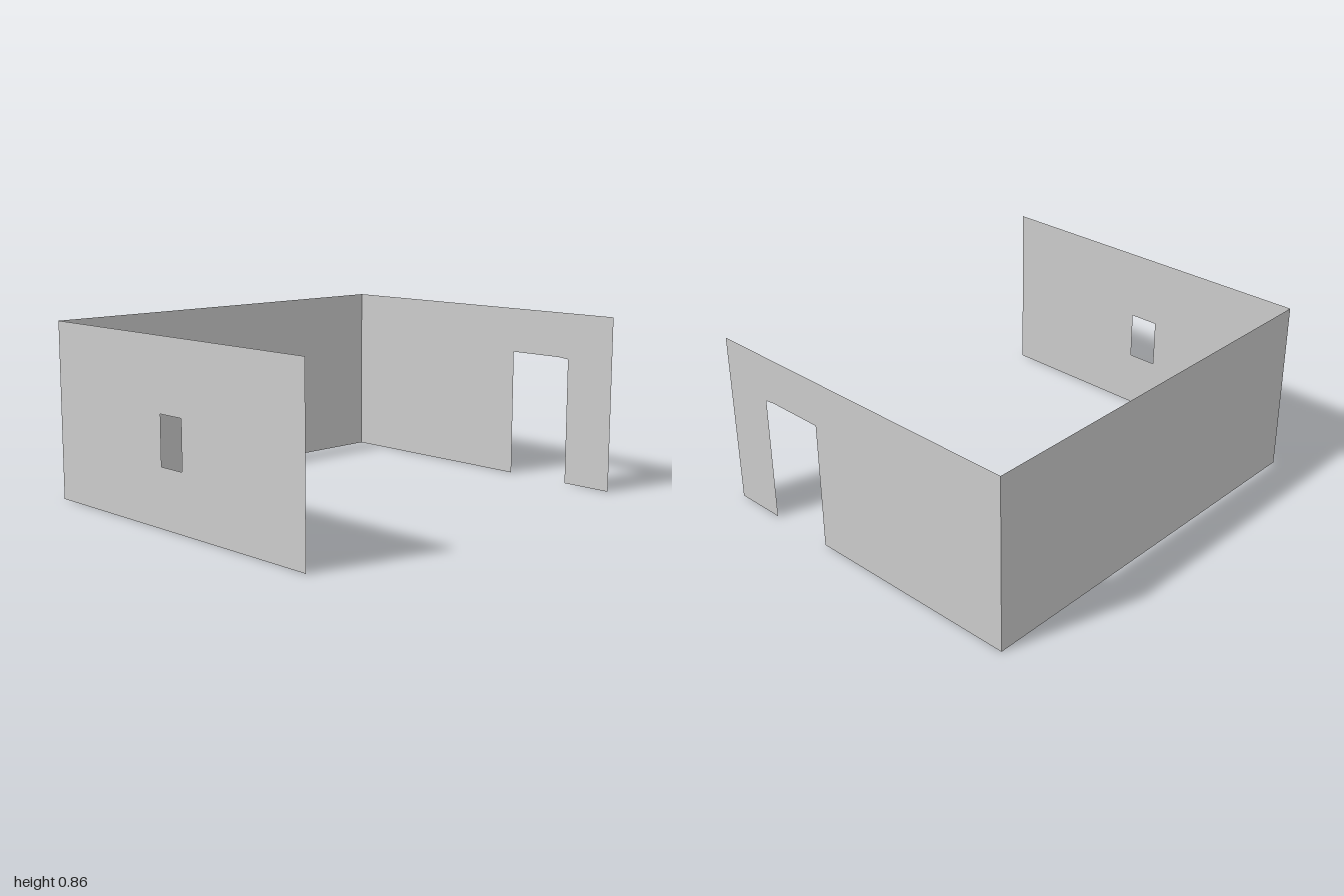
import * as THREE from 'three';

const HALF_X = 1, HALF_Z = 0.857, HEIGHT = 0.857;

const points = (list) => list.map(([a, b]) => new THREE.Vector2(a, b));

// Single-sheet wall from an outline and optional openings
function makeWall(name, outline, openings = []) {
  const shape = new THREE.Shape(points(outline));
  for (const o of openings) shape.holes.push(new THREE.Path(points(o)));
  const material = new THREE.MeshStandardMaterial({ color: 0xcccccc, side: THREE.DoubleSide });
  const wall = new THREE.Mesh(new THREE.ShapeGeometry(shape), material);
  wall.name = name;
  return wall;
}

const rect = (a0, b0, a1, b1) => [[a0, b0], [a1, b0], [a1, b1], [a0, b1]];

export function createModel() {
  const room = new THREE.Group();
  room.name = 'room';

  // Plain back wall
  const back = makeWall('backWall', rect(-HALF_X, 0, HALF_X, HEIGHT));
  back.position.z = -HALF_Z;

  // Side walls are drawn as (z, y) and turned into place
  const windowWall = makeWall('windowWall', rect(-HALF_Z, 0, HALF_Z, HEIGHT),
    [rect(-0.074, 0.28, 0.074, 0.514)]);
  windowWall.position.x = -HALF_X;

  // The doorway is open to the floor, with a slightly dipped front corner
  const doorWall = makeWall('doorWall', [
    [-HALF_Z, 0], [0.252, 0], [0.252, 0.634], [0.54, 0.634], [0.596, 0.628], [0.596, 0],
    [HALF_Z, 0], [HALF_Z, HEIGHT], [-HALF_Z, HEIGHT],
  ]);
  doorWall.position.x = HALF_X;

  for (const side of [windowWall, doorWall]) side.rotation.y = -Math.PI / 2;

  room.add(back, windowWall, doorWall);
  return room;
}
